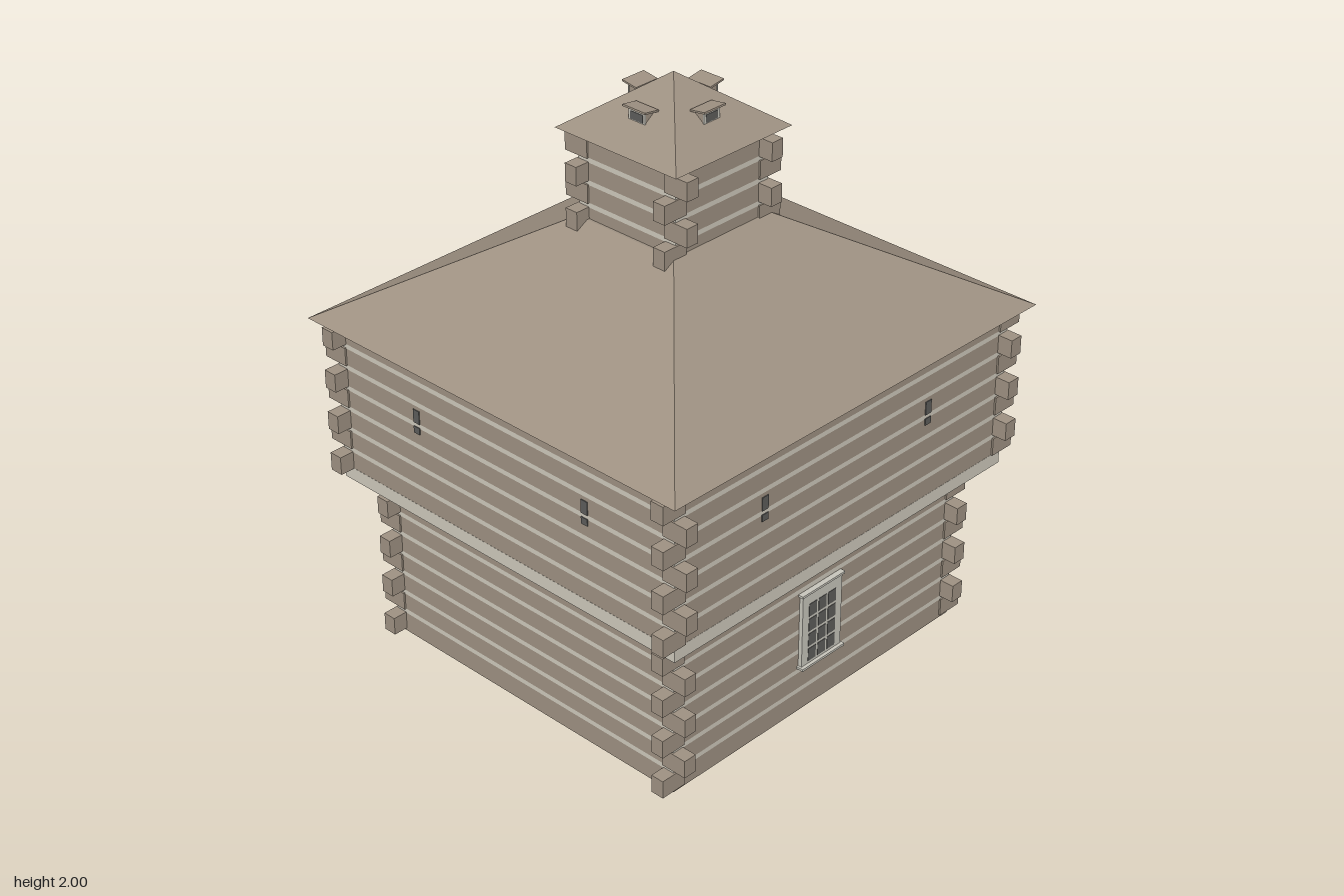
import * as THREE from 'three';

const mat = (name, color) => {
  const m = new THREE.MeshStandardMaterial({ color });
  m.name = name;
  return m;
};

export function createModel() {
  const timber = mat('timber', 0x9d9081);
  const chinking = mat('chinking', 0xccc7ba);
  const trim = mat('trim', 0xc6c4ba);
  const dark = mat('dark', 0x5c5c5a);
  const red = mat('door red', 0x703529);

  const model = new THREE.Group();
  model.name = 'blockhouse';

  const group = (name, parent = model) => {
    const g = new THREE.Group();
    g.name = name;
    parent.add(g);
    return g;
  };
  const add = (parent, name, geo, material, x = 0, y = 0, z = 0) => {
    const m = new THREE.Mesh(geo, material);
    m.name = name;
    m.position.set(x, y, z);
    parent.add(m);
    return m;
  };
  const box = (parent, name, w, h, d, material, x, y, z) =>
    add(parent, name, new THREE.BoxGeometry(w, h, d), material, x, y, z);

  // Rectangular open frame of wall thickness t, from y0 to y1
  const ring = (parent, name, hx, hz, t, y0, y1, material) => {
    const rect = (P, a, b) => new P([
      new THREE.Vector2(-a, -b), new THREE.Vector2(a, -b),
      new THREE.Vector2(a, b), new THREE.Vector2(-a, b)]);
    const s = rect(THREE.Shape, hx, hz);
    s.holes.push(rect(THREE.Path, hx - t, hz - t));
    const geo = new THREE.ExtrudeGeometry(s, { depth: y1 - y0, bevelEnabled: false });
    geo.rotateX(-Math.PI / 2);
    return add(parent, name, geo, material, 0, y0, 0);
  };

  // Hipped roof: a box whose top corners are drawn inward
  const hipRoof = (name, hx, hz, tx, tz, y0, y1) => {
    const geo = new THREE.BoxGeometry(2, y1 - y0, 2);
    const p = geo.attributes.position;
    for (let i = 0; i < p.count; i++) {
      const top = p.getY(i) > 0;
      p.setX(i, p.getX(i) * (top ? tx : hx));
      p.setZ(i, p.getZ(i) * (top ? tz : hz));
    }
    geo.computeVertexNormals();
    return add(model, name, geo, timber, 0, (y0 + y1) / 2, 0);
  };

  // Log storey: flush courses of timber and chinking, with log ends at the
  // corners that stick out sideways and endways in turn
  const PROUD = 0.006, WALL = 0.012, T = 0.048, PITCH = 0.0765, LOG = 0.06, OUT = 0.047;
  const storey = (name, hx, hz, firstY, rows, y0, y1) => {
    const g = group(name);
    for (let i = 0; i <= rows; i++) {
      const y = firstY + i * PITCH;
      const bottom = i ? y - LOG / 2 : y0, top = Math.min(y + LOG / 2, y1);
      if (top > bottom) ring(g, 'logCourse', hx, hz, WALL, bottom, top, timber);
      const next = Math.min(y + PITCH - LOG / 2, y1);
      if (next > top) ring(g, 'chinkCourse', hx, hz, WALL, top, next, chinking);
      if (i === rows) break;
      const ox = i % 2 ? 0 : OUT, oz = i % 2 ? OUT : 0;
      for (const sx of [-1, 1])
        for (const sz of [-1, 1])
          box(g, 'logEnd', T + ox, 0.064, T + oz, timber,
            sx * (hx + PROUD + (ox - T) / 2), y, sz * (hz + PROUD + (oz - T) / 2));
    }
    return g;
  };

  // Lower storey, open underneath
  const lower = storey('lowerStorey', 0.661, 0.634, 0.042, 7, 0, 0.592);
  ring(lower, 'innerLining', 0.65, 0.623, 0.004, 0.001, 0.592, timber);

  // Overhanging floor slab
  box(model, 'overhangFloor', 1.521, 0.047, 1.467, chinking, 0, 0.6155, 0);

  // Upper storey and lookout tower
  const upper = storey('upperStorey', 0.76, 0.733, 0.67, 7, 0.639, 1.18);
  storey('lookoutTower', 0.204, 0.204, 1.53, 4, 1.49, 1.82);

  // Roofs
  hipRoof('mainRoof', 0.822, 0.794, 0.213, 0.205, 1.177, 1.522);
  hipRoof('towerRoof', 0.254, 0.254, 0.0005, 0.0005, 1.818, 2);

  // Loopholes, two per upper wall, interrupted by the chinking
  for (let side = 0; side < 4; side++) {
    const wall = group('loopholes', upper);
    wall.rotation.y = side * Math.PI / 2;
    const d = side % 2 ? 0.76 : 0.733, x = side % 2 ? 0.368 : 0.376;
    for (const s of [-1, 1]) {
      box(wall, 'loophole', 0.027, 0.047, 0.006, dark, s * x, 0.969, d);
      box(wall, 'loophole', 0.027, 0.024, 0.006, dark, s * x, 0.92, d);
    }
  }

  // Window with twelve panes, built facing +z
  const makeWindow = (name, x, back) => {
    const g = group(name);
    if (back) g.rotation.y = Math.PI;
    const wx = back ? -x : x;
    box(g, 'windowFrame', 0.185, 0.27, 0.02, trim, wx, 0.312, 0.638);
    box(g, 'windowHead', 0.2, 0.008, 0.026, trim, wx, 0.449, 0.64);
    box(g, 'windowSill', 0.2, 0.008, 0.034, trim, wx, 0.174, 0.643);
    for (let c = -1; c <= 1; c++)
      for (let r = 0; r < 4; r++)
        box(g, 'pane', 0.036, 0.047, 0.003, dark, wx + c * 0.045, 0.211 + r * 0.057, 0.648);
  };
  makeWindow('frontWindow', 0, false);
  makeWindow('backWindow', -0.335, true);

  // Back door
  const door = group('backDoor');
  door.position.set(0.002, 0, -0.636);
  box(door, 'doorLeaf', 0.24, 0.48, 0.014, red, 0, 0.25, 0);
  for (const s of [-1, 1])
    box(door, 'doorJamb', 0.018, 0.49, 0.022, trim, s * 0.128, 0.255, 0);
  box(door, 'doorHead', 0.292, 0.018, 0.03, trim, 0, 0.5, 0);

  // Four small dormers on the tower roof
  for (let side = 0; side < 4; side++) {
    const g = group('dormer');
    g.rotation.y = side * Math.PI / 2;
    box(g, 'dormerBody', 0.066, 0.036, 0.034, timber, 0, 1.902, 0.138);
    box(g, 'dormerFrame', 0.07, 0.042, 0.004, trim, 0, 1.905, 0.156);
    box(g, 'dormerPane', 0.052, 0.026, 0.003, dark, 0, 1.903, 0.158);
    const roof = box(g, 'dormerRoof', 0.094, 0.006, 0.06, timber, 0, 1.927, 0.142);
    roof.rotation.x = -0.15;
  }

  return model;
}
